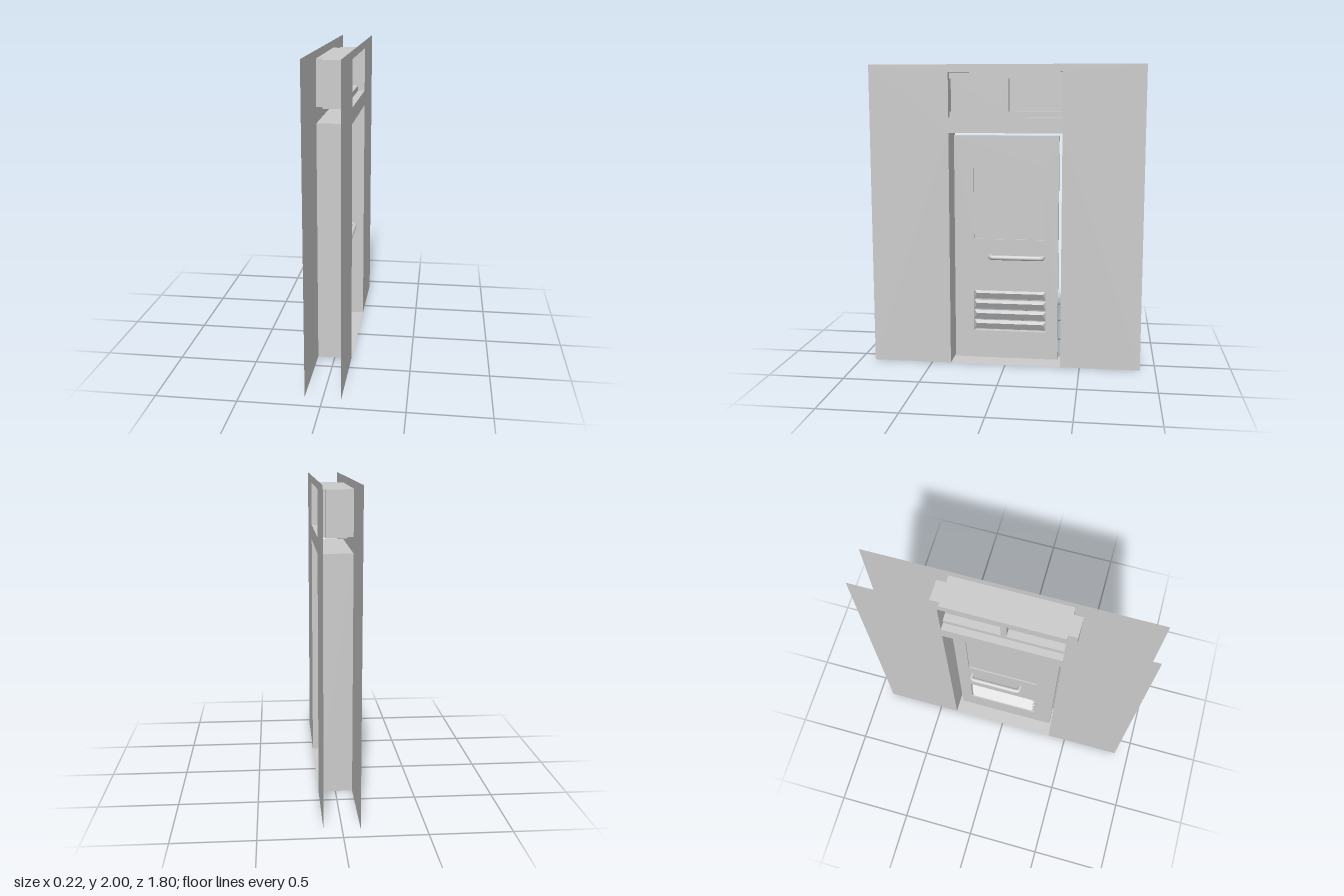
import * as THREE from 'three';
import { ConvexGeometry } from 'three/addons/geometries/ConvexGeometry.js';

const HALF = 0.11;     // half distance between the wall skins
const OPEN = 0.372;    // half width of the openings

export function createModel() {
  const model = new THREE.Group();
  const solid = new THREE.MeshStandardMaterial({ color: 0xcccccc });
  const flat = new THREE.MeshStandardMaterial({ color: 0xcccccc, flatShading: true });
  const sheet = new THREE.MeshStandardMaterial({ color: 0xcccccc, side: THREE.DoubleSide });

  const add = (name, geometry, material = solid, x = 0, y = 0, z = 0) => {
    const mesh = new THREE.Mesh(geometry, material);
    mesh.name = name;
    mesh.position.set(x, y, z);
    model.add(mesh);
    return mesh;
  };
  // Rectangle in the (z, y) plane, as a shape or a hole
  const rect = (z0, z1, y0, y1, Type = THREE.Shape) => new Type([
    [z0, y0], [z1, y0], [z1, y1], [z0, y1],
  ].map(([z, y]) => new THREE.Vector2(z, y)));
  // Extrude a (z, y) shape along x, centred on x = 0
  const slab = (shape, depth) => new THREE.ExtrudeGeometry(shape, { depth, bevelEnabled: false })
    .translate(0, 0, -depth / 2).rotateY(-Math.PI / 2);
  // Four-sided lining, open along x
  const lining = (width, y0, y1) => {
    const g = new THREE.BoxGeometry(width, y1 - y0, OPEN * 2);
    g.setIndex(Array.from(g.index.array).slice(12));
    g.clearGroups();
    return g.translate(0, (y0 + y1) / 2, 0);
  };

  // Two thin wall skins with a doorway and a transom opening
  const wall = new THREE.Shape([
    [-0.9, 0], [-OPEN, 0], [-OPEN, 1.56], [OPEN, 1.56],
    [OPEN, 0], [0.9, 0], [0.9, 2], [-0.9, 2],
  ].map(([z, y]) => new THREE.Vector2(z, y)));
  wall.holes.push(rect(-OPEN, OPEN, 1.66, 1.95, THREE.Path));
  const wallGeometry = new THREE.ShapeGeometry(wall).rotateY(-Math.PI / 2);
  for (const s of [-1, 1]) add('wallSkin', wallGeometry, sheet, s * HALF);

  // Linings of the doorway and the transom
  add('doorLining', lining(HALF * 2, 0, 1.56), sheet);
  for (const s of [-1, 1]) {
    add('transomReveal', lining(HALF - 0.065, 1.66, 1.95), sheet, s * (HALF + 0.065) / 2);
  }

  // Transom frame with two lights
  const frame = rect(-0.43, 0.43, 1.66, 1.95);
  for (const [a, b] of [[-OPEN, -0.018], [0.018, OPEN]]) {
    frame.holes.push(rect(a, b, 1.697, 1.91, THREE.Path));
    add('transomPane', slab(rect(a, b, 1.697, 1.91), 0.03));
  }
  add('transomFrame', slab(frame, 0.13));

  // Door leaf, cut out for the window and the vent
  const door = rect(-0.347, 0.353, 0.02, 1.54);
  door.holes.push(rect(-0.264, 0.222, 0.845, 1.327, THREE.Path));
  door.holes.push(rect(-0.264, 0.222, 0.208, 0.49, THREE.Path));
  add('doorLeaf', slab(door, 0.04));
  add('doorWindow', slab(rect(-0.264, 0.222, 0.845, 1.327), 0.022));

  // Vent louvres: wedges with a crest on each side and tapered ends
  const points = [];
  for (const s of [-1, 1]) {
    for (const y of [0, -0.06]) {
      for (const z of [-0.264, 0.222]) points.push(new THREE.Vector3(s * 0.005, y, z));
    }
    for (const z of [-0.246, 0.204]) points.push(new THREE.Vector3(s * 0.028, -0.017, z));
  }
  const louvre = new ConvexGeometry(points);
  for (let i = 0; i < 4; i++) add('ventLouvre', louvre, flat, 0, 0.49 - i * 0.0705);

  // Bent bar handle on each face
  for (const s of [-1, 1]) {
    const path = new THREE.CurvePath();
    const p = (x, z) => new THREE.Vector3(s * x, 0.727, z);
    path.add(new THREE.LineCurve3(p(0.015, 0.108), p(0.035, 0.108)));
    path.add(new THREE.QuadraticBezierCurve3(p(0.035, 0.108), p(0.06, 0.108), p(0.06, 0.083)));
    path.add(new THREE.LineCurve3(p(0.06, 0.083), p(0.06, -0.217)));
    path.add(new THREE.QuadraticBezierCurve3(p(0.06, -0.217), p(0.06, -0.242), p(0.035, -0.242)));
    path.add(new THREE.LineCurve3(p(0.035, -0.242), p(0.015, -0.242)));
    add('doorHandle', new THREE.TubeGeometry(path, 90, 0.016, 16));
  }
  return model;
}
